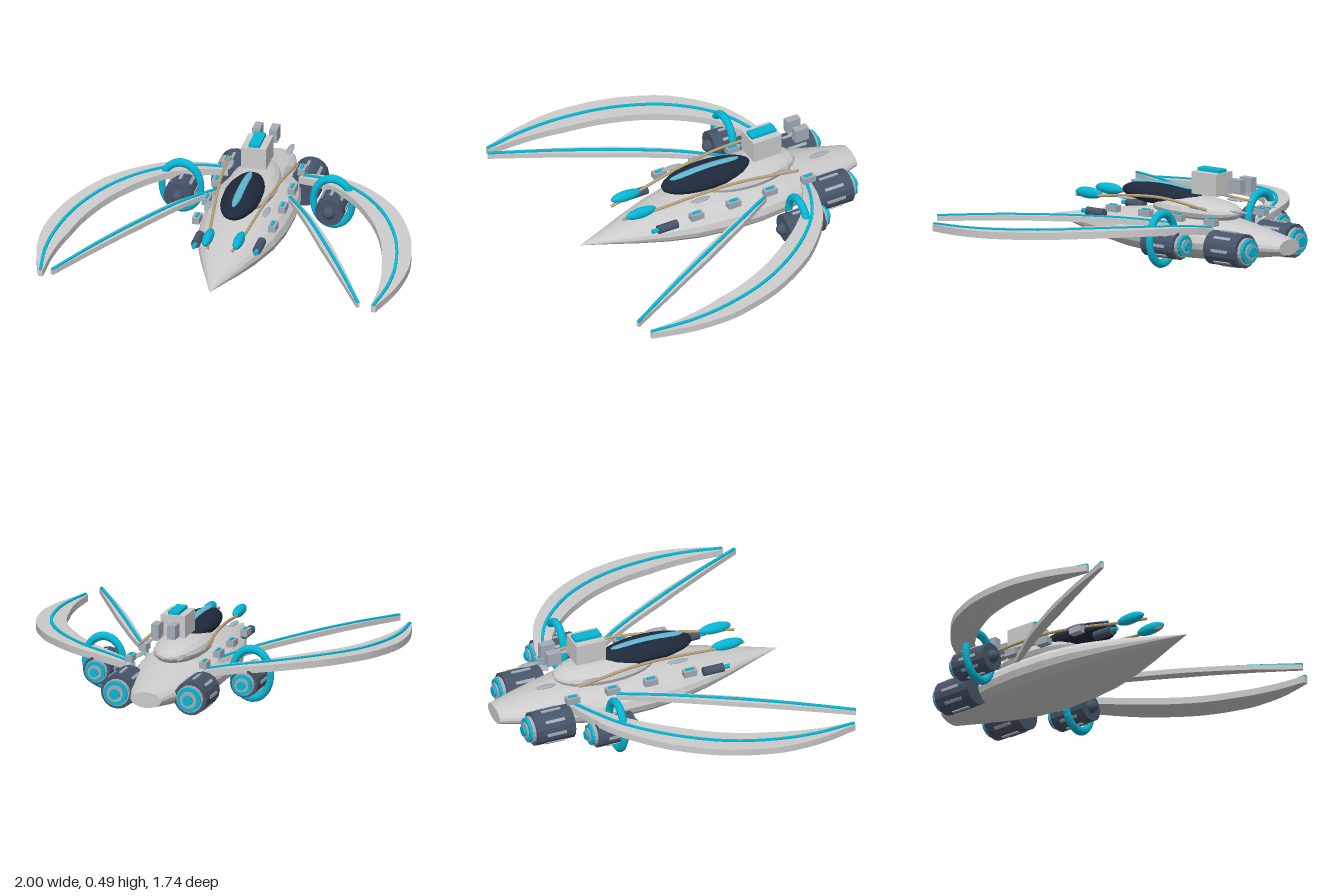
import * as THREE from 'three';

const mat = (color) => new THREE.MeshStandardMaterial({ color, flatShading: true });
const grey = mat(0xcccccc), cyan = mat(0x06b6d4), dark = mat(0x475569);
const glass = mat(0x1e293b), gold = mat(0xb8a078), pale = mat(0x5fb4cf), steel = mat(0xa3adb8);

function add(parent, name, geometry, material, x = 0, y = 0, z = 0) {
  const mesh = new THREE.Mesh(geometry, material);
  mesh.name = name;
  mesh.position.set(x, y, z);
  parent.add(mesh);
  return mesh;
}
const box = (w, h, d) => new THREE.BoxGeometry(w, h, d);
const ellipsoid = (a, b, c) => new THREE.SphereGeometry(1, 16, 12).rotateX(Math.PI / 2).scale(a, b, c);
const rodZ = (r, length, sides = 16) => new THREE.CylinderGeometry(r, r, length, sides).rotateX(Math.PI / 2);

// Curved bar with a rectangular section; each point is [x, y, z, width]
function blade(points, side, thickness, lift = 0, fixedWidth = 0, steps = 28) {
  const curve = new THREE.CatmullRomCurve3(points.map((p) => new THREE.Vector3(p[0] * side, p[1] + lift, p[2])));
  const up = new THREE.Vector3(0, 1, 0), pos = [], index = [];
  for (let i = 0; i <= steps; i++) {
    const t = i / steps, f = t * (points.length - 1), k = Math.min(Math.floor(f), points.length - 2);
    const w = fixedWidth || THREE.MathUtils.lerp(points[k][3], points[k + 1][3], f - k);
    const c = curve.getPoint(t);
    const across = up.clone().cross(curve.getTangent(t)).normalize();
    for (const [a, b] of [[1, 1], [-1, 1], [-1, -1], [1, -1]]) {
      pos.push(c.x + across.x * a * w / 2, c.y + b * thickness / 2, c.z + across.z * a * w / 2);
    }
    if (i === steps) continue;
    for (let j = 0; j < 4; j++) {
      const a = i * 4 + j, b = i * 4 + (j + 1) % 4;
      index.push(a, b, b + 4, a, b + 4, a + 4);
    }
  }
  const e = steps * 4;
  index.push(0, 2, 1, 0, 3, 2, e, e + 1, e + 2, e, e + 2, e + 3);
  const g = new THREE.BufferGeometry();
  g.setAttribute('position', new THREE.Float32BufferAttribute(pos, 3));
  g.setIndex(index);
  const flat = g.toNonIndexed();
  flat.computeVertexNormals();
  return flat;
}

// Engine drum with side strips and a glowing stepped nozzle at the back
function engine(name, x, y, z, r, length) {
  const g = new THREE.Group();
  g.name = name;
  g.position.set(x, y, z);
  const back = -length / 2;
  add(g, 'engineDrum', rodZ(r, length), dark);
  add(g, 'nozzleCollar', rodZ(r * 0.8, 0.02), steel, 0, 0, back - 0.008);
  add(g, 'nozzleRing', rodZ(r * 0.72, 0.02), cyan, 0, 0, back - 0.022);
  add(g, 'nozzleStep', rodZ(r * 0.5, 0.02), steel, 0, 0, back - 0.03);
  add(g, 'nozzleCore', rodZ(r * 0.3, 0.024), cyan, 0, 0, back - 0.042);
  for (let i = 0; i < 8; i++) {
    const a = i * Math.PI / 4;
    const strip = add(g, 'drumStrip', box(0.016, 0.008, length * 0.5), steel, r * Math.sin(a), r * Math.cos(a), 0);
    strip.rotation.z = -a;
  }
  return g;
}

export function createModel() {
  const model = new THREE.Group();
  model.name = 'starfighter';

  // Flattened spindle hull
  const profile = [[0, -0.87], [0.085, -0.87], [0.135, -0.72], [0.185, -0.56], [0.225, -0.4], [0.24, -0.24],
    [0.236, -0.04], [0.212, 0.14], [0.17, 0.3], [0.115, 0.46], [0.06, 0.6], [0, 0.76]];
  const hull = new THREE.LatheGeometry(profile.map((p) => new THREE.Vector2(...p)), 20);
  add(model, 'hull', hull.rotateX(Math.PI / 2).scale(1, 0.51, 1), grey, 0, 0.128, 0);

  // Dorsal body, canopy and its stripe
  add(model, 'dorsalBody', ellipsoid(0.14, 0.068, 0.29), grey, 0, 0.268, -0.24);
  add(model, 'canopy', ellipsoid(0.105, 0.06, 0.265), glass, 0, 0.322, 0);
  add(model, 'canopyStripe', ellipsoid(0.027, 0.02, 0.21), pale, 0, 0.367, 0.01);

  // Sensor tower
  add(model, 'tower', box(0.135, 0.12, 0.17), grey, 0, 0.418, -0.338);
  add(model, 'towerLight', box(0.06, 0.02, 0.15), cyan, 0, 0.486, -0.338);

  const wing = [[0.2, 0.2, -0.5, 0.05], [0.34, 0.22, -0.45, 0.085], [0.52, 0.231, -0.355, 0.125],
    [0.72, 0.227, -0.15, 0.165], [0.86, 0.208, 0.11, 0.165], [0.925, 0.19, 0.38, 0.15],
    [0.935, 0.178, 0.6, 0.095], [0.908, 0.168, 0.825, 0.025]];
  const spike = [[0.2, 0.2, -0.25, 0.02], [0.35, 0.222, -0.01, 0.05], [0.52, 0.227, 0.29, 0.06],
    [0.68, 0.22, 0.58, 0.045], [0.835, 0.202, 0.865, 0.018]];

  for (const s of [1, -1]) {
    const half = new THREE.Group();
    half.name = s > 0 ? 'leftSide' : 'rightSide';
    model.add(half);

    // Crescent wing and straight blade, each with a glowing line
    add(half, 'crescentWing', blade(wing, s, 0.038), grey);
    add(half, 'crescentWingLine', blade(wing, s, 0.012, 0.021, 0.016), cyan);
    add(half, 'bladeWing', blade(spike, s, 0.028), grey);
    add(half, 'bladeWingLine', blade(spike, s, 0.012, 0.016, 0.016), cyan);

    // Engines and the hoop around the outer one
    half.add(engine('mainEngine', s * 0.205, 0.12, -0.63, 0.092, 0.22));
    half.add(engine('wingEngine', s * 0.412, 0.148, -0.355, 0.077, 0.22));
    add(half, 'engineHoop', new THREE.TorusGeometry(0.106, 0.019, 10, 32).scale(1, 1.26, 1.1), cyan,
      s * 0.413, 0.172, -0.335);
    add(half, 'engineHub', ellipsoid(0.035, 0.035, 0.04), dark, s * 0.412, 0.148, -0.245);

    // Long rod ending in a glowing pod
    const path = new THREE.CatmullRomCurve3([[0.185, 0.305, -0.46], [0.152, 0.33, -0.12], [0.122, 0.31, 0.14],
      [0.095, 0.28, 0.35], [0.065, 0.262, 0.54]].map((p) => new THREE.Vector3(p[0] * s, p[1], p[2])));
    add(half, 'rod', new THREE.TubeGeometry(path, 24, 0.008, 8), gold);
    add(half, 'rodPod', ellipsoid(0.027, 0.031, 0.09), cyan, s * 0.084, 0.285, 0.438);

    // Hull side modules
    for (const z of [-0.505, -0.275, -0.055, 0.17]) {
      add(half, 'sideModule', box(0.04, 0.035, 0.074), steel, s * 0.208, 0.25, z);
      add(half, 'sideModuleLight', box(0.015, 0.008, 0.045), cyan, s * 0.206, 0.269, z);
    }
    // Small flat fairings
    for (const [x, z] of [[0.115, -0.62], [0.157, -0.37], [0.16, 0.12]]) {
      add(half, 'fairing', ellipsoid(0.018, 0.007, 0.06), steel, s * x, 0.305, z);
    }
    // Forward gun
    add(half, 'gunBody', rodZ(0.024, 0.115, 12), dark, s * 0.168, 0.205, 0.322);
    add(half, 'gunTip', rodZ(0.012, 0.04, 12), cyan, s * 0.168, 0.205, 0.395);
    // Rear sensor block
    add(half, 'rearBlock', box(0.043, 0.075, 0.08), steel, s * 0.046, 0.428, -0.548);
  }
  return model;
}
